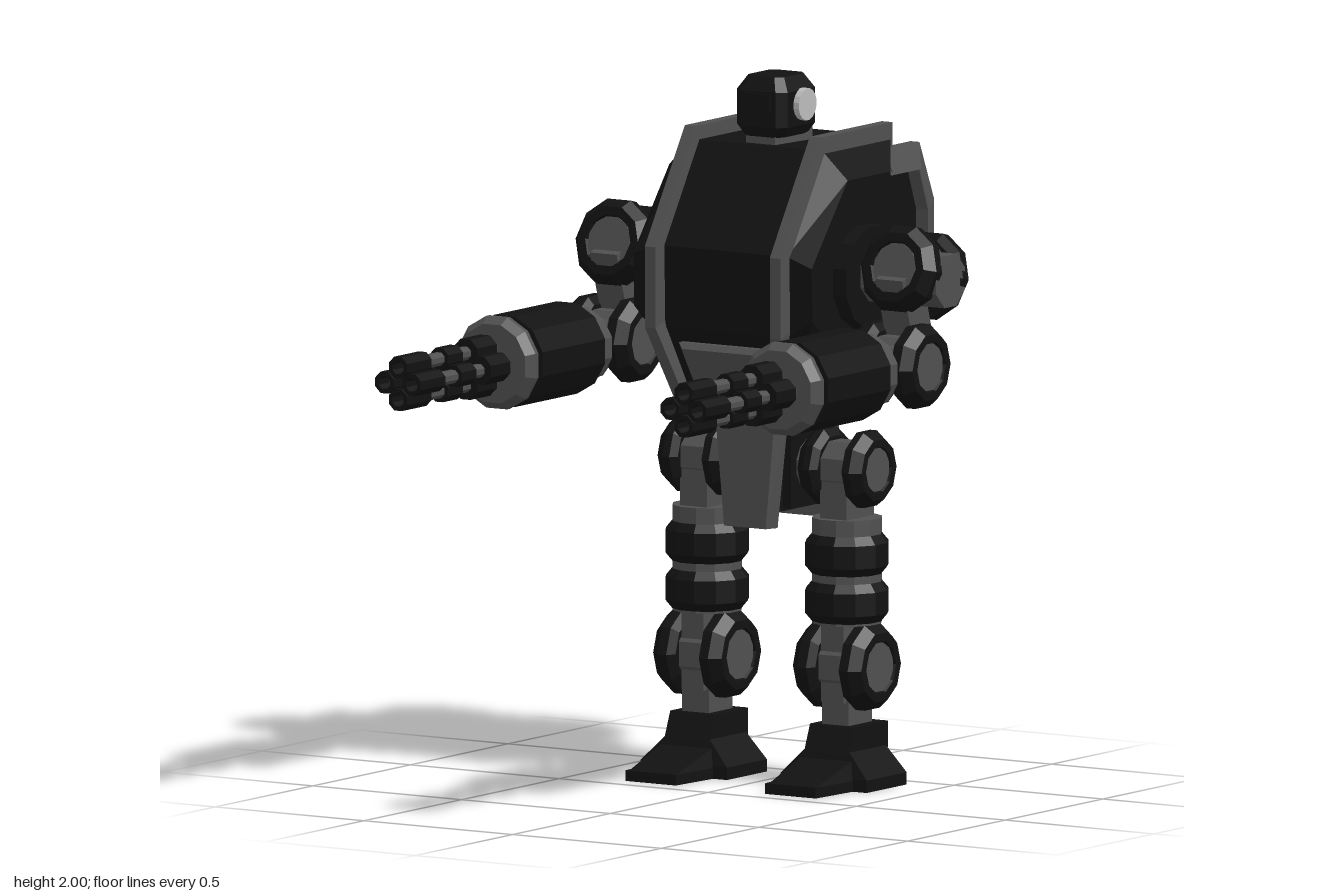
import * as THREE from 'three';

const mat = (color) => new THREE.MeshStandardMaterial({ color, flatShading: true, roughness: 0.8 });
const black = mat(0x121212), grey = mat(0x505050), pale = mat(0xbbbbbb);

function add(parent, name, geo, material, x = 0, y = 0, z = 0) {
  const m = new THREE.Mesh(geo, material);
  m.name = name;
  m.position.set(x, y, z);
  parent.add(m);
  return m;
}

const box = (w, h, d) => new THREE.BoxGeometry(w, h, d);

// Solid skinned over cross-sections of equal point count, capped at both ends
function loft(sections) {
  const n = sections[0].length, pts = sections.flat(), idx = [];
  for (let i = 0; i + 1 < sections.length; i++) {
    for (let j = 0; j < n; j++) {
      const a = i * n + j, b = i * n + (j + 1) % n;
      idx.push(a, b, b + n, a, b + n, a + n);
    }
  }
  const e = (sections.length - 1) * n;
  for (let j = 1; j + 1 < n; j++) idx.push(0, j + 1, j, e, e + j, e + j + 1);
  // Turn the faces outward
  const v = pts.map((p) => new THREE.Vector3(...p));
  let volume = 0;
  for (let i = 0; i < idx.length; i += 3) {
    volume += v[idx[i]].dot(v[idx[i + 1]].clone().cross(v[idx[i + 2]]));
  }
  if (volume < 0) idx.reverse();
  const g = new THREE.BufferGeometry().setFromPoints(v);
  g.setIndex(idx);
  const flat = g.toNonIndexed();
  flat.computeVertexNormals();
  return flat;
}

// Turned part: points are [radius, height]; axis y, x or z
function turned(points, axis = 'y', sides = 10) {
  const g = new THREE.LatheGeometry(points.map((p) => new THREE.Vector2(...p)), sides);
  g.rotateY(Math.PI / sides);
  if (axis === 'x') g.rotateX(Math.PI / 2).rotateY(Math.PI / 2);
  if (axis === 'z') g.rotateX(Math.PI / 2);
  return g;
}
const rod = (r, a, b, axis, sides = 12) => turned([[0, a], [r, a], [r, b], [0, b]], axis, sides);

// Joint: two bevelled wheels on a grey hub, axis along x
function joint(name, r, w) {
  const g = new THREE.Group();
  g.name = name;
  const k = r / 0.125;
  const profile = [[0, 0.04], [0.1 * k, 0.04], [r, 0.055], [r, w - 0.03], [0.1 * k, w], [0.075 * k, w], [0.07 * k, w - 0.012], [0, w - 0.012]];
  for (const s of [1, -1]) {
    const wheel = add(g, 'jointWheel', turned(profile, 'x'), black);
    if (s < 0) wheel.rotation.y = Math.PI;
  }
  add(g, 'jointHub', rod(0.07 * k, -w + 0.006, w - 0.006, 'x'), grey);
  add(g, 'jointCore', rod(0.09 * k, -0.045, 0.045, 'x', 8), grey);
  return g;
}

function torso(root) {
  // Hull: side profile widened to a smaller outer panel; points are [z, y]
  const P = [[-0.07, 1.53], [-0.25, 1.81], [-0.6, 1.81], [-0.6, 1.05], [-0.16, 1.05], [-0.075, 1.3]];
  const Q = [[-0.075, 1.5], [-0.26, 1.73], [-0.48, 1.73], [-0.48, 1.3], [-0.14, 1.3], [-0.08, 1.35]];
  const inner = (s) => P.map(([z, y]) => [s * (y < 1.1 ? 0.16 : 0.22), y, z]);
  const outer = (s) => Q.map(([z, y]) => [s * 0.3, y, z]);
  add(root, 'torsoHull', loft([outer(-1), inner(-1), inner(1), outer(1)]), black);

  const rimOut = [[-0.6, 1.85], [-0.23, 1.85], [-0.025, 1.53], [-0.025, 1.3], [-0.13, 1.04]];
  const rimIn = [[-0.6, 1.78], [-0.26, 1.78], [-0.09, 1.5], [-0.09, 1.32], [-0.19, 1.05]];
  const podOut = [[-0.6, 1.77], [-0.78, 1.77], [-0.855, 1.6], [-0.855, 1.46], [-0.74, 1.23], [-0.6, 1.23]];
  const podIn = [[-0.6, 1.7], [-0.74, 1.7], [-0.785, 1.58], [-0.785, 1.48], [-0.7, 1.3], [-0.6, 1.3]];
  for (const s of [1, -1]) {
    add(root, 'torsoRim', loft(rimOut.map(([z, y], i) => {
      const c = i === 4 ? 0.155 : 0.21, [zi, yi] = rimIn[i];
      return [[s * (c - 0.018), y, z], [s * (c + 0.018), y, z], [s * (c + 0.018), yi, zi], [s * (c - 0.018), yi, zi]];
    })), grey);
    add(root, 'backPodRim', loft(podOut.map(([z, y], i) => {
      const [zi, yi] = podIn[i];
      return [[s * 0.17, y, z], [s * 0.2, y, z], [s * 0.232, yi, zi], [s * 0.232, yi - 0, zi + 0.01], [s * 0.08, yi, zi]];
    })), grey);
    add(root, 'shoulderPlate', rod(0.15, 0.27, 0.345, 'x'), black, s < 0 ? -0.615 : 0, 1.45, -0.33);
  }
  const core = podOut.map(([z, y]) => [Math.max(z + 0.03, -0.825), 1.5 + (y - 1.5) * 0.92]);
  add(root, 'backPod', loft([-0.19, 0.19].map((x) => core.map(([z, y]) => [x, y, z]))), black);

  // Lower chest plate with a raised face
  const plate = (k, d) => [[-0.14 * k, 1.155 + 0.105 * k, d - 0.07], [0.14 * k, 1.155 + 0.105 * k, d - 0.07],
    [0.1 * k, 1.155 - 0.1 * k, d - 0.145], [-0.1 * k, 1.155 - 0.1 * k, d - 0.145]];
  add(root, 'chestPlate', loft([plate(1, -0.03), plate(1, 0.005), plate(0.85, 0.02)]), grey);

  // Pelvis: dark core between tapered front and back plates
  add(root, 'pelvisCore', box(0.17, 0.27, 0.28), black, 0, 0.91, -0.36);
  add(root, 'hipAxle', rod(0.075, -0.14, 0.14, 'x'), grey, 0, 0.9, -0.355);
  add(root, 'pelvisSides', box(0.225, 0.25, 0.21), black, 0, 0.91, -0.36);
  for (const [face, back] of [[-0.19, -0.23], [-0.53, -0.49]]) {
    const ring = (z, k) => [[-0.1 * k, 1.05, z], [0.1 * k, 1.05, z], [0.07 * k, 0.73, z], [-0.07 * k, 0.73, z]];
    add(root, 'pelvisPlate', loft([ring(back, 1.2), ring(face, 1)]), grey);
  }
}

function head(root) {
  const ring = (y, w, d) => [[-w, y, -d], [-w * 0.7, y, d], [w * 0.7, y, d], [w, y, -d]];
  const oct = (y, w, d, c) => [[-w, y, d - c], [-w + c, y, d], [w - c, y, d], [w, y, d - c],
    [w, y, c - d], [w - c, y, -d], [c - w, y, -d], [-w, y, c - d]];
  add(root, 'neck', loft([ring(1.78, 0.07, 0.08), ring(1.86, 0.07, 0.08)]), grey, 0, 0, -0.35);
  add(root, 'head', loft([oct(1.83, 0.065, 0.08, 0.02), oct(1.86, 0.085, 0.095, 0.025),
    oct(1.96, 0.085, 0.095, 0.025), oct(2, 0.06, 0.07, 0.02)]), black, 0, 0, -0.35);
  add(root, 'visor', box(0.09, 0.05, 0.02), black, 0, 1.93, -0.257);
  add(root, 'earDiscs', rod(0.046, -0.103, 0.103, 'x', 16), pale, 0, 1.92, -0.355);
}

function leg(root, s) {
  const g = new THREE.Group();
  g.name = s > 0 ? 'leftLeg' : 'rightLeg';
  g.position.set(s * 0.235, 0, -0.355);
  root.add(g);
  const hip = joint('hipJoint', 0.112, 0.108);
  hip.position.y = 0.9;
  const knee = joint('kneeJoint', 0.127, 0.115);
  knee.position.y = 0.34;
  g.add(hip, knee);
  add(g, 'hipStrut', box(0.09, 0.2, 0.14), grey, 0, 0.83, 0);
  add(g, 'thigh', rod(0.1, 0.46, 0.76, 'y'), grey);
  const bulge = [[0, -0.065], [0.095, -0.065], [0.12, -0.035], [0.12, 0.03], [0.095, 0.06], [0, 0.06]];
  for (const y of [0.66, 0.525]) add(g, 'thighRing', turned(bulge, 'y', 12), black, 0, y, 0);
  add(g, 'kneeStrut', box(0.075, 0.26, 0.15), grey, 0, 0.37, 0);
  add(g, 'shin', box(0.09, 0.16, 0.12), grey, 0, 0.24, 0);
  add(g, 'ankle', loft([[0.1, 0.075], [0.175, 0.045]].map(([y, f]) =>
    [[-0.075, y, f + 0.03], [0.075, y, f + 0.03], [0.075, y, -0.095], [-0.075, y, -0.095]])), black);
  // Foot: wide sloped heel and a narrower toe wedge
  const heel = (y, w, f) => [[-w, y, f], [w, y, f], [w, y, -0.085], [-w, y, -0.085]];
  add(g, 'heel', loft([heel(0, 0.145, 0.12), heel(0.035, 0.145, 0.12), heel(0.11, 0.072, 0.1)]), black);
  add(g, 'toe', loft([[0.29, 0.03, 0.085], [0.1, 0.085, 0.1]].map(([z, y, w]) =>
    [[-w, 0, z], [w, 0, z], [w, 0.03, z], [w * 0.85, y, z], [-w * 0.85, y, z], [-w, 0.03, z]])), black);
}

function arm(root, s) {
  const g = new THREE.Group();
  g.name = s > 0 ? 'leftArm' : 'rightArm';
  g.position.set(s * 0.48, 0, 0);
  root.add(g);
  // Shoulder wheels face forward and tilt up
  const shoulder = joint('shoulderJoint', 0.127, 0.115);
  shoulder.rotation.set(-0.25, -Math.PI / 2, 0, 'XYZ');
  shoulder.position.set(0, 1.475, -0.33);
  const elbow = joint('elbowJoint', 0.122, 0.115);
  elbow.position.set(0, 1.225, -0.24);
  g.add(shoulder, elbow);
  add(g, 'shoulderAxle', rod(0.08, -0.18, 0.12, 'x', 8), grey, s < 0 ? 0.06 : 0, 1.46, -0.33);
  add(g, 'upperArm', box(0.09, 0.28, 0.1), grey, 0, 1.35, -0.285).rotation.x = 0.3;
  add(g, 'elbowStrut', box(0.1, 0.12, 0.2), grey, 0, 1.225, -0.14);

  // Forearm housing
  const y = 1.225;
  add(g, 'forearmBase', rod(0.11, -0.08, 0, 'z'), grey, 0, y);
  add(g, 'forearm', rod(0.133, -0.01, 0.31, 'z'), black, 0, y);
  add(g, 'forearmFront', turned([[0, 0.3], [0.115, 0.3], [0.115, 0.335], [0.135, 0.335], [0.135, 0.35],
    [0.115, 0.375], [0, 0.375]], 'z', 12), grey, 0, y);
  // Four parallel barrels with collars and open muzzles
  for (let i = 0; i < 4; i++) {
    const a = i * Math.PI / 2, x = 0.046 * Math.cos(a), by = y + 0.046 * Math.sin(a);
    add(g, 'barrel', rod(0.02, 0.36, 0.8, 'z', 8), grey, x, by);
    add(g, 'rearCollar', rod(0.043, 0.41, 0.51, 'z', 8), black, x, by);
    add(g, 'middleCollar', rod(0.033, 0.57, 0.645, 'z', 8), black, x, by);
    add(g, 'muzzle', turned([[0, 0.73], [0.033, 0.73], [0.033, 0.856], [0.02, 0.856], [0.02, 0.8], [0, 0.8]], 'z', 8), black, x, by);
  }
}

export function createModel() {
  const root = new THREE.Group();
  root.name = 'walkerRobot';
  torso(root);
  head(root);
  for (const s of [1, -1]) {
    leg(root, s);
    arm(root, s);
  }
  return root;
}
